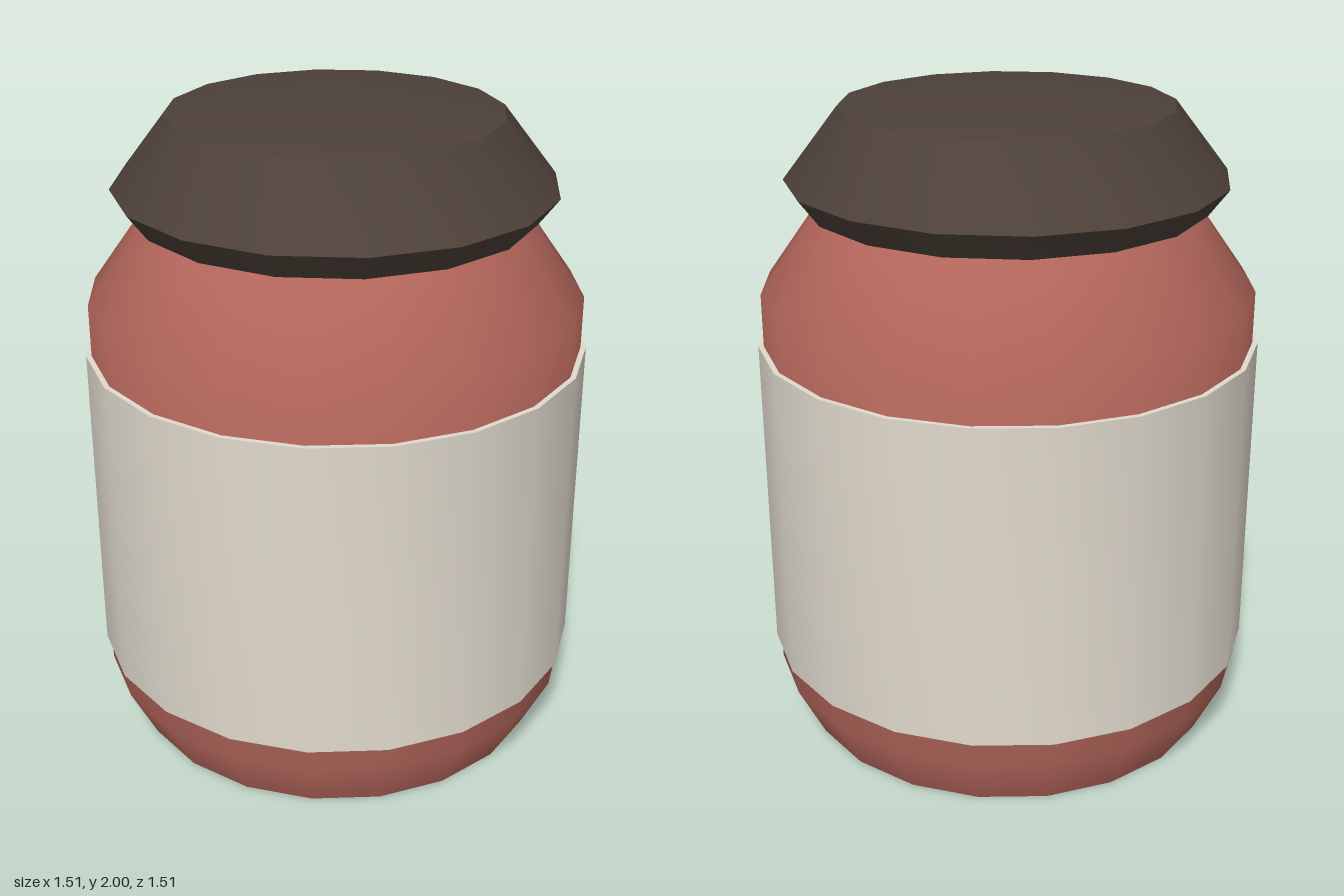
import * as THREE from 'three';
import { toCreasedNormals } from 'three/addons/utils/BufferGeometryUtils.js';

const material = (name, color) => {
  const m = new THREE.MeshStandardMaterial({ color });
  m.name = name;
  return m;
};

// Solid turned from a profile listed bottom to top as [radius, height]
function turned(name, profile, segments, mat) {
  const points = profile.map(([r, y]) => new THREE.Vector2(r, y));
  const geometry = toCreasedNormals(new THREE.LatheGeometry(points, segments), 0.7);
  const mesh = new THREE.Mesh(geometry, mat);
  mesh.name = name;
  return mesh;
}

export function createModel() {
  const group = new THREE.Group();
  group.name = 'jar';
  const red = material('brick red', 0xb5675c);
  const cream = material('cream', 0xe0d9cc);
  const brown = material('dark brown', 0x4d4139);

  // Jar with chamfered foot and sloping shoulder, closed inside the lid
  group.add(turned('jarBody', [
    [0, 0], [0.655, 0], [0.738, 0.17], [0.738, 1.395], [0.55, 1.66], [0, 1.66],
  ], 20, red));

  // Wrapped label: a thin closed band standing just proud of the jar
  group.add(turned('label', [
    [0.73, 0.25], [0.754, 0.25], [0.754, 1.235], [0.73, 1.235],
  ], 20, cream));

  // Faceted lid with a shallow conical top
  group.add(turned('lid', [
    [0, 1.645], [0.595, 1.645], [0.655, 1.725], [0.492, 1.935], [0, 2],
  ], 16, brown));

  return group;
}
